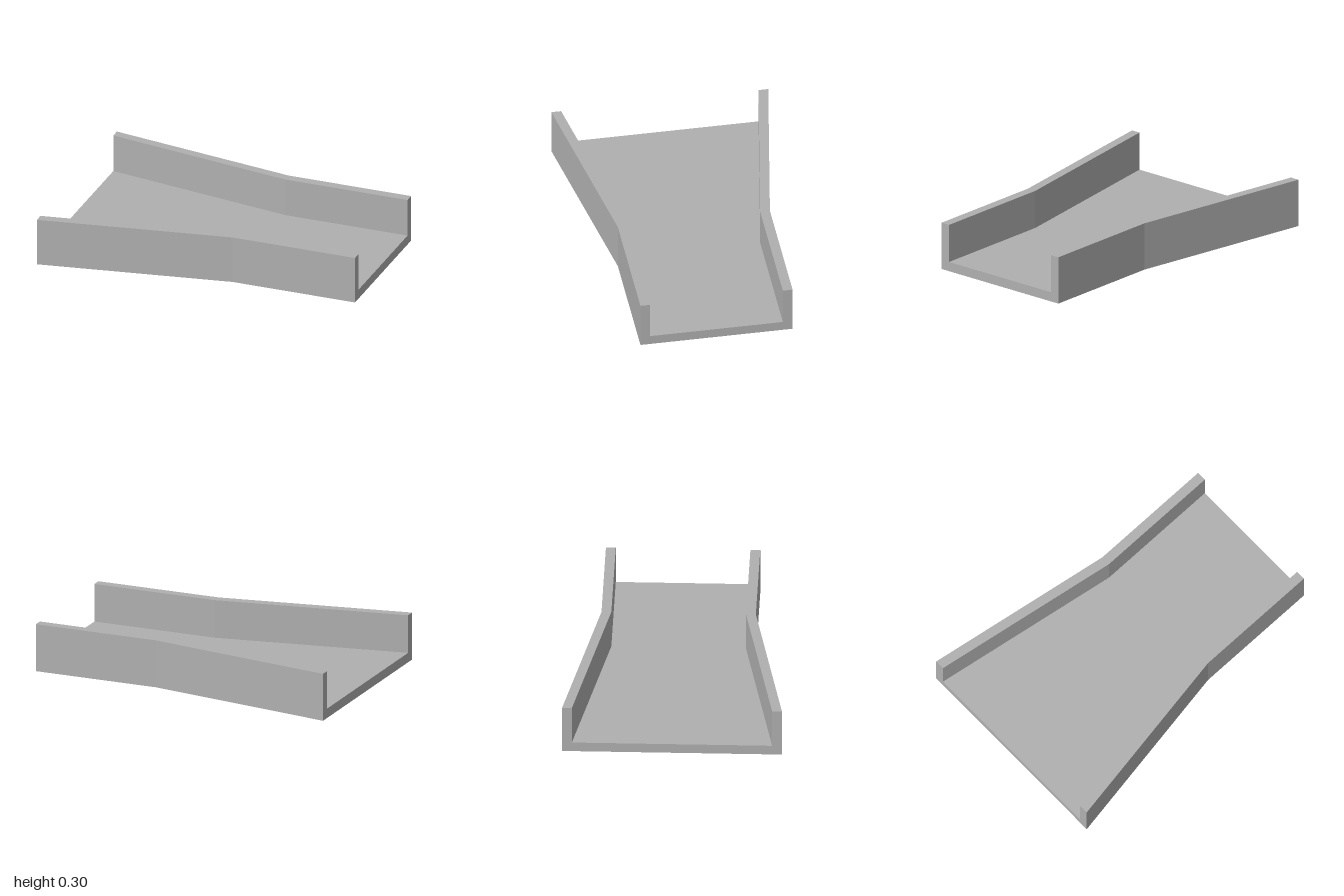
import * as THREE from 'three';

const HEIGHT = 0.3, FLOOR = 0.06, WALL = 0.06, HOLE_DEPTH = 0.045, HOLE_R = 0.032;
// Plan outline of one side: [x, half width]
const SIDE = [[-1, 0.67], [0.2, 0.47], [1, 0.47]];

// Extrude a plan shape upwards from height y0
function extrudeUp(shape, y0, height) {
  const geo = new THREE.ExtrudeGeometry(shape, { depth: height, bevelEnabled: false, curveSegments: 24 });
  geo.rotateX(-Math.PI / 2);
  geo.translate(0, y0, 0);
  return geo;
}

function planShape(points) {
  return new THREE.Shape(points.map(([x, z]) => new THREE.Vector2(x, z)));
}

export function createModel() {
  const group = new THREE.Group();
  group.name = 'taperedChannel';
  const grey = new THREE.MeshStandardMaterial({ color: 0xb0b0b0 });
  grey.name = 'grey';

  const add = (name, geo) => {
    const mesh = new THREE.Mesh(geo, grey);
    mesh.name = name;
    group.add(mesh);
  };

  // Floor: a lower layer with four blind holes, closed by a thin upper layer
  const inner = SIDE.map(([x, z]) => [x, z - WALL]);
  const floorOutline = [...inner.map(([x, z]) => [x, -z]), ...[...inner].reverse()];
  const lower = planShape(floorOutline);
  for (const x of [-0.83, 0.83]) {
    for (const z of [-0.2, 0.2]) {
      lower.holes.push(new THREE.Path().absarc(x, z, HOLE_R, 0, Math.PI * 2, true));
    }
  }
  add('floorWithHoles', extrudeUp(lower, 0, HOLE_DEPTH));
  add('floorTop', extrudeUp(planShape(floorOutline), HOLE_DEPTH, FLOOR - HOLE_DEPTH));

  // Side walls following the taper, mirrored front to back
  for (const [name, s] of [['backWall', 1], ['frontWall', -1]]) {
    const outline = [...SIDE, ...[...inner].reverse()].map(([x, z]) => [x, s * z]);
    add(name, extrudeUp(planShape(outline), 0, HEIGHT));
  }

  return group;
}
